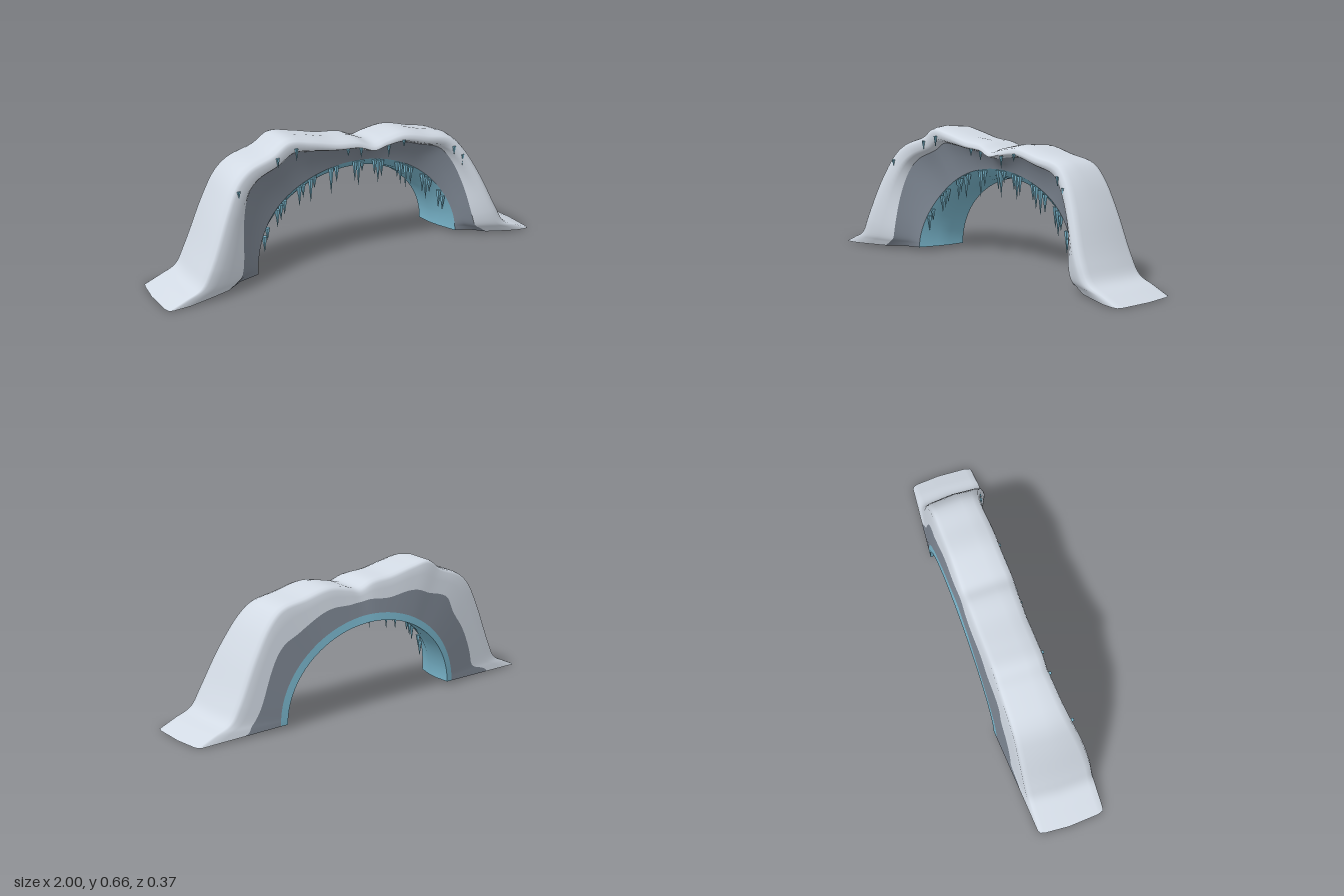
import * as THREE from 'three';

// The shell is open underneath, so every surface shows from both sides
const mat = (name, color) =>
  Object.assign(new THREE.MeshStandardMaterial({ color, side: THREE.DoubleSide }), { name });

// Outer silhouette of the arch, from the right foot to the left foot
const OUTER = [
  [-1, 0], [-0.92, 0.035], [-0.85, 0.07], [-0.8, 0.16], [-0.7, 0.385], [-0.63, 0.505], [-0.56, 0.562],
  [-0.43, 0.608], [-0.35, 0.656], [-0.24, 0.643], [-0.1, 0.615], [0.02, 0.603], [0.1, 0.575], [0.17, 0.59],
  [0.28, 0.605], [0.42, 0.575], [0.55, 0.545], [0.62, 0.48], [0.7, 0.345], [0.79, 0.15], [0.84, 0.07],
  [0.92, 0.035], [1, 0],
];
const CX = 0.055, CY = 0.02, RX = 0.495, RY = 0.39;   // inner opening
const STEPS = 110;
const { smoothstep, clamp } = THREE.MathUtils;

// Depth of the tunnel's front edge, by sine of the angle around the opening
const mouthZ = s => 0.055 - 0.055 * smoothstep(s, 0, 0.8);

// Cross-section of the arch at one station, split by part; pairs are [distance outward, z]
function section(o, i) {
  const angle = Math.atan2(Math.max(0, o.y), o.x - CX);
  const inner = new THREE.Vector2(CX + RX * Math.cos(angle), CY + RY * Math.sin(angle));
  const dir = o.clone().sub(inner);
  const T = dir.length();
  dir.normalize();
  const h = smoothstep(o.y, 0.05, 0.6);
  // the left flank's front edge sits a little further back
  const setBack = 0.018 * smoothstep(o.x, 0.3, 0.55) * smoothstep(o.y, 0.05, 0.45);
  const zf = 0.186 - 0.097 * Math.pow(clamp((o.y - 0.12) / 0.5, 0, 1), 1.6) - setBack;
  const wave = Math.sin(i * 0.45) * 0.03 + Math.sin(i * 0.21 + 1) * 0.03;
  const bf = (0.44 + 0.28 * h) * T, bb = (0.53 + wave) * T;
  const zIce = mouthZ(Math.sin(angle));
  const zBack = t => -0.187 + 0.037 * Math.min(1, t / (T - 0.03));
  const edge = T - 0.03, mid = edge - (edge - bb) * 0.4;
  const place = list => list.map(([t, z]) => new THREE.Vector3(inner.x + dir.x * t, inner.y + dir.y * t, z));
  return {
    frontRock: place([[0.06, zIce], [0.06 + (bf - 0.06) * 0.55, zIce + (zf - 0.05 - zIce) * 0.3],
      [bf, zf - 0.05]]),
    snowCover: place([[bf, zf - 0.05], [bf + (0.78 * T - bf) * 0.6, zf - 0.02], [0.79 * T, zf - 0.002],
      [T - 0.035, zf], [T - 0.016, zf - 0.006], [T - 0.007, zf - 0.035],
      [T, 0], [T - 0.01, -0.12], [T - 0.016, -0.14], [edge, -0.15], [mid, zBack(mid)], [bb, zBack(bb)]]),
    backRock: place([[bb, zBack(bb)], [0.035, zBack(0.035)]]),
    iceRim: place([[0.035, zBack(0.035)], [0, -0.187]]),
    iceTunnel: place([[0, -0.187], [0.006, -0.1], [0.022, -0.04], [0.06, zIce]]),
  };
}

// Smooth surface through rows of points
function loft(rows) {
  const n = rows[0].length, index = [];
  for (let i = 0; i < rows.length - 1; i++)
    for (let j = 0; j < n - 1; j++) {
      const a = i * n + j, b = a + n;
      index.push(a, b, b + 1, a, b + 1, a + 1);
    }
  const g = new THREE.BufferGeometry().setFromPoints(rows.flat());
  g.setIndex(index);
  g.computeVertexNormals();
  return g;
}

export function createModel() {
  const group = new THREE.Group();
  group.name = 'iceArch';
  const snow = mat('snow', 0xd2dae4), rock = mat('greyRock', 0x7c8591), ice = mat('ice', 0x78b4ca);
  const add = (name, geometry, material) => {
    const mesh = new THREE.Mesh(geometry, material);
    mesh.name = name;
    group.add(mesh);
    return mesh;
  };

  // Arch body
  const curve = new THREE.CatmullRomCurve3(OUTER.map(([x, y]) => new THREE.Vector3(x, y, 0)));
  const sections = curve.getPoints(STEPS).map((p, i) => section(new THREE.Vector2(p.x, p.y), i));
  const look = { frontRock: rock, snowCover: snow, backRock: rock, iceRim: ice, iceTunnel: ice };
  for (const name in look) add(name, loft(sections.map(s => s[name])), look[name]);

  // Five-sided icicle hanging from its root
  const icicle = (name, x, y, z, len, r) => {
    const cone = new THREE.ConeGeometry(r, len, 5).toNonIndexed();
    cone.computeVertexNormals();
    cone.rotateX(Math.PI);
    cone.translate(0, -len / 2, 0);
    add(name, cone, ice).position.set(x, y, z);
  };

  // Icicles along the mouth of the tunnel: [x, length]
  const mouth = [
    [-0.45, 0.08], [-0.43, 0.06], [-0.37, 0.09], [-0.35, 0.08], [-0.33, 0.07], [-0.25, 0.1], [-0.23, 0.07],
    [-0.19, 0.12], [-0.17, 0.06], [-0.08, 0.13], [-0.05, 0.08], [0.05, 0.1], [0.07, 0.13], [0.09, 0.06],
    [0.16, 0.08], [0.18, 0.12], [0.2, 0.09], [0.29, 0.08], [0.31, 0.11], [0.34, 0.12], [0.37, 0.09],
    [0.44, 0.1], [0.46, 0.12], [0.48, 0.07], [0.53, 0.1], [0.55, 0.08],
  ];
  mouth.forEach(([x, len]) => {
    const c = (x - CX) / (RX + 0.05);
    const s = Math.sqrt(1 - c * c);
    icicle('mouthIcicle', x, CY + (RY + 0.055) * s, mouthZ(s) - 0.005, len, 0.013);
  });

  // Small icicles under the snow lip: [x, y, z]
  const lip = [
    [-0.615, 0.47, 0.13], [-0.405, 0.58, 0.095], [-0.31, 0.61, 0.093], [-0.04, 0.565, 0.09], [0.03, 0.56, 0.09],
    [0.18, 0.55, 0.093], [0.265, 0.565, 0.093], [0.555, 0.49, 0.1], [0.6, 0.445, 0.11],
  ];
  lip.forEach(([x, y, z], i) => icicle('lipIcicle', x, y, z, 0.035 + (i % 3) * 0.012, 0.009));
  return group;
}
